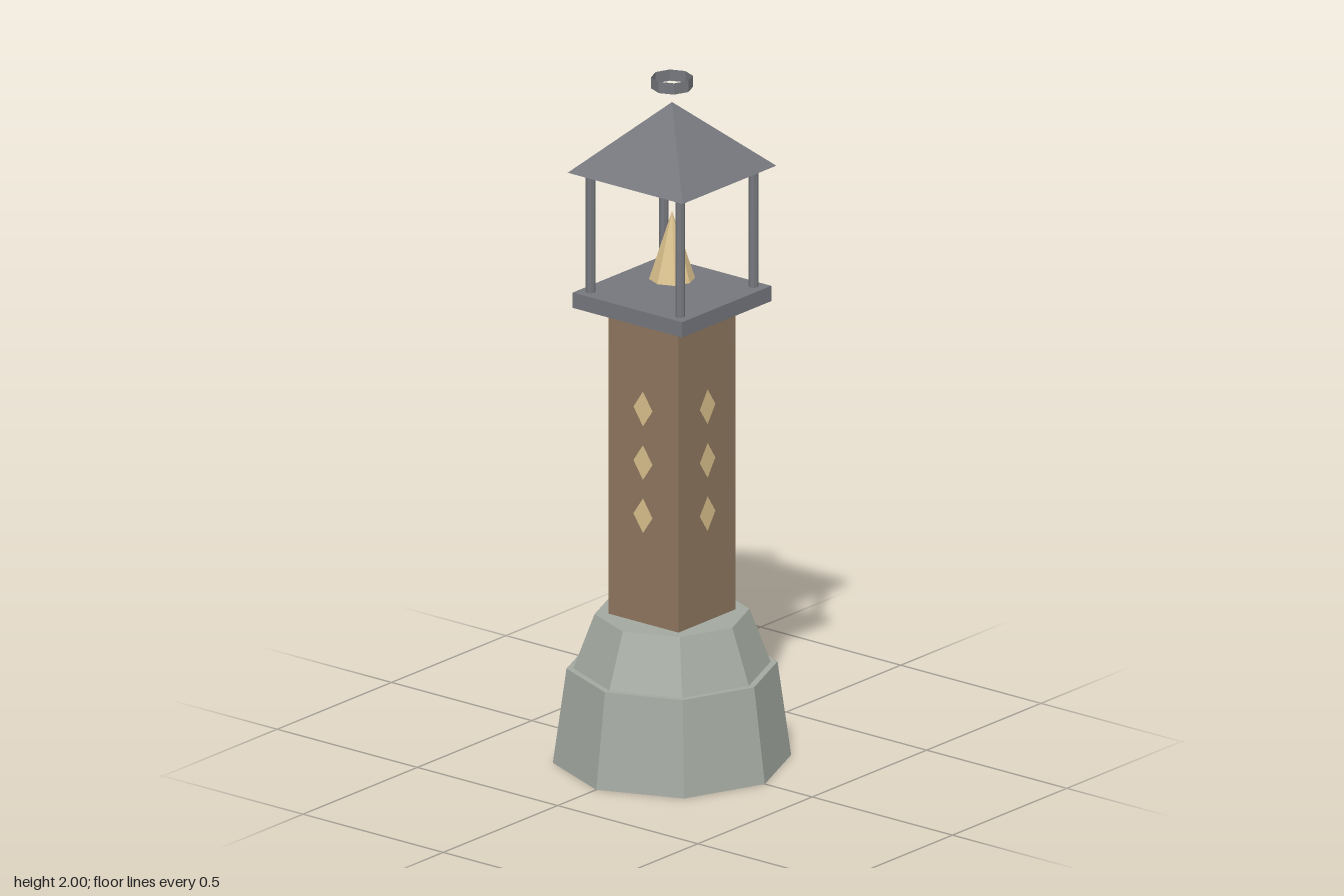
import * as THREE from 'three';

const material = (name, color, extra = {}) => {
  const m = new THREE.MeshStandardMaterial({ color, flatShading: true, ...extra });
  m.name = name;
  return m;
};

export function createModel() {
  const stone = material('stone', 0xa3a9a1);
  const wood = material('wood', 0x8e765e);
  const metal = material('metal', 0x75777d);
  const ringMetal = material('ringMetal', 0x75777d, { side: THREE.DoubleSide });
  const glow = material('glow', 0xd9c08c);

  const model = new THREE.Group();
  model.name = 'lanternTower';
  const add = (name, geometry, mat, x, y, z) => {
    const mesh = new THREE.Mesh(geometry, mat);
    mesh.name = name;
    mesh.position.set(x, y, z);
    model.add(mesh);
    return mesh;
  };

  // Two tapered octagonal stone tiers
  add('lowerBase', new THREE.CylinderGeometry(0.293, 0.331, 0.275, 8), stone, 0, 0.1375, 0);
  add('upperBase', new THREE.CylinderGeometry(0.215, 0.274, 0.157, 8), stone, 0, 0.3535, 0);

  // Square shaft
  add('shaft', new THREE.BoxGeometry(0.25, 0.9, 0.25), wood, 0, 0.882, 0);

  // Three diamond inlays on each side of the shaft
  const diamond = new THREE.CircleGeometry(1, 4).scale(0.034, 0.051, 1);
  for (let side = 0; side < 4; side++) {
    const angle = side * Math.PI / 2;
    for (const y of [0.747, 0.903, 1.06]) {
      const inlay = add('diamondInlay', diamond, glow,
        Math.sin(angle) * 0.127, y, Math.cos(angle) * 0.127);
      inlay.rotation.y = angle;
    }
  }

  // Lantern platform and corner posts
  add('platform', new THREE.BoxGeometry(0.39, 0.045, 0.39), metal, 0, 1.354, 0);
  const post = new THREE.CylinderGeometry(0.0135, 0.0135, 0.355, 8);
  for (const x of [-0.16, 0.16]) {
    for (const z of [-0.16, 0.16]) add('post', post, metal, x, 1.552, z);
  }

  // Flame
  add('flame', new THREE.ConeGeometry(0.064, 0.197, 8), glow, 0, 1.507, 0);

  // Pyramid roof and the open band above it
  const roof = new THREE.ConeGeometry(0.205 * Math.SQRT2, 0.197, 4).rotateY(Math.PI / 4);
  add('roof', roof, metal, 0, 1.8265, 0);
  add('topRing', new THREE.CylinderGeometry(0.058, 0.058, 0.033, 8, 1, true), ringMetal, 0, 1.9835, 0);

  return model;
}
